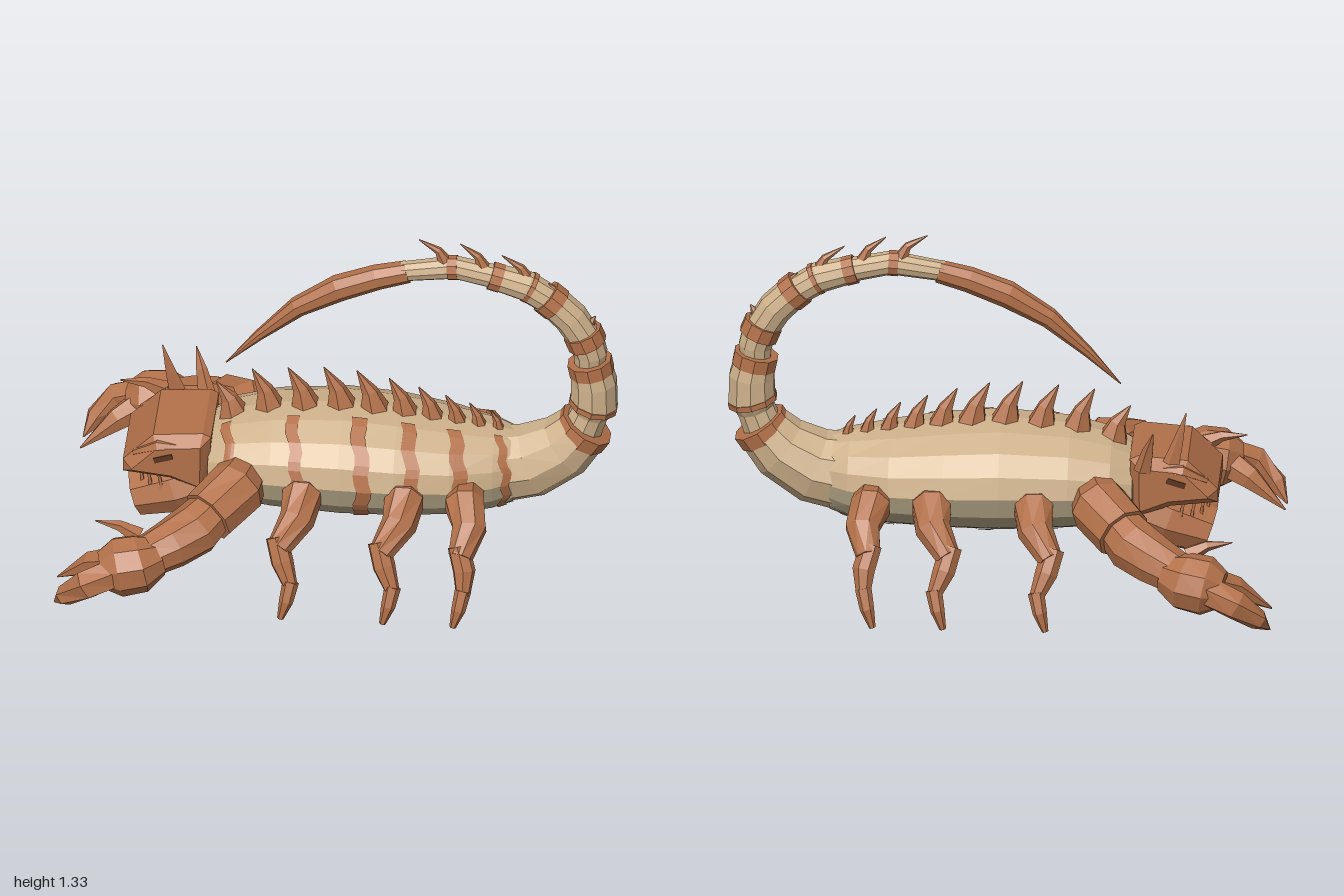
import * as THREE from 'three';

const paint = (name, color) => Object.assign(new THREE.MeshStandardMaterial({ color }), { name });

export function createModel() {
  const model = new THREE.Group();
  const tan = paint('sand shell', 0xcdb08a);
  const belly = paint('grey sand underside', 0xb0a283);
  const rust = paint('rust brown', 0xb3714a);
  const dark = paint('dark brown', 0x5a3520);

  const add = (geo, mat, name, parent = model) => {
    const mesh = new THREE.Mesh(geo, mat);
    mesh.name = name;
    parent.add(mesh);
    return mesh;
  };
  const group = (name) => {
    const g = new THREE.Group();
    g.name = name;
    model.add(g);
    return g;
  };

  // Faceted skin over a grid of points
  const skin = (rows, extra = []) => {
    const tris = [...extra];
    for (let i = 0; i < rows.length - 1; i++)
      for (let j = 0; j < rows[i].length - 1; j++) {
        const a = rows[i][j], b = rows[i][j + 1], c = rows[i + 1][j + 1], d = rows[i + 1][j];
        tris.push(a, b, c, a, c, d);
      }
    const geo = new THREE.BufferGeometry().setFromPoints(tris);
    geo.computeVertexNormals();
    return geo;
  };

  // Capped limb through [x, y, z, radius] stations
  const limb = (path, sides = 8, ref = [0, 0, 1], squash = 1) => {
    const pts = path.map((p) => new THREE.Vector3(p[0], p[1], p[2]));
    const r = new THREE.Vector3(...ref);
    const rows = pts.map((p, i) => {
      const t = pts[Math.min(i + 1, pts.length - 1)].clone().sub(pts[Math.max(i - 1, 0)]).normalize();
      const u = r.clone().cross(t).normalize();
      const v = t.clone().cross(u);
      return Array.from({ length: sides + 1 }, (_, j) => {
        const a = ((j + 0.5) / sides) * Math.PI * 2;
        return p.clone().addScaledVector(u, Math.cos(a) * path[i][3])
          .addScaledVector(v, Math.sin(a) * path[i][3] * squash);
      });
    });
    const caps = [], n = pts.length - 1;
    for (let j = 0; j < sides; j++)
      caps.push(pts[0], rows[0][j + 1], rows[0][j], pts[n], rows[n][j], rows[n][j + 1]);
    return skin(rows, caps);
  };

  // Body stations: x, centre y, half height, half width
  const body = [
    [-0.5, 0.4, 0, 0], [-0.48, 0.39, 0.13, 0.19], [-0.4, 0.4, 0.165, 0.235], [-0.25, 0.41, 0.192, 0.262],
    [0, 0.413, 0.208, 0.28], [0.2, 0.407, 0.198, 0.275], [0.4, 0.395, 0.18, 0.24],
    [0.55, 0.39, 0.16, 0.18], [0.62, 0.39, 0.14, 0.135],
  ];
  const SIDES = 16;
  const station = (x) => {
    let i = 0;
    while (i < body.length - 2 && x > body[i + 1][0]) i++;
    const k = (x - body[i][0]) / (body[i + 1][0] - body[i][0]);
    return body[i].map((v, n) => v + (body[i + 1][n] - v) * k);
  };
  const onBody = (x, t, off) => {
    const [, cy, hy, hz] = station(x);
    const corner = (n) => {
      const a = (n / SIDES) * Math.PI * 2;
      return new THREE.Vector3(x, cy + Math.sin(a) * (hy + off), Math.cos(a) * (hz + off));
    };
    return corner(Math.floor(t)).lerp(corner(Math.floor(t) + 1), t - Math.floor(t));
  };
  // Patch of body surface: t runs around, xAt gives the x of each column
  const patch = (ts, cols, xAt, off) => skin(ts.map((t) =>
    Array.from({ length: cols }, (_, i) => onBody(xAt(i, t), t, off))));
  const around = (from, to, step) =>
    Array.from({ length: Math.round((to - from) / step) + 1 }, (_, i) => from + i * step).reverse();
  const shell = (from, to) => skin(around(from, to, 1).reverse().map((t) =>
    body.map((b) => onBody(b[0], t, b[2] ? 0 : -b[2]))).map((row) => row.reverse()).reverse());
  // Both shell halves share the patch winding
  add(shell(0, 8), tan, 'upperBody');
  add(shell(8, 16), belly, 'lowerBody');
  for (const mesh of model.children) mesh.geometry = faceOut(mesh.geometry, 0.4);

  const stripes = group('bodyStripes');
  [[-0.41, 0.035], [-0.17, 0.045], [0.07, 0.055], [0.25, 0.05], [0.42, 0.05], [0.58, 0.03]].forEach(([x, w], n) => {
    const geo = patch(around(-6, 3.2, 0.4), 4,
      (i, t) => x + 0.02 * Math.cos(t * 0.7) + 0.007 * Math.sin(t * 4 + n) + (i / 3 - 0.5) * w, 0.005);
    add(faceOut(geo, 0.4), rust, 'stripe', stripes);
  });

  // Spines leaning toward the head
  const spine = (x, y, dx, h, r, parent) => add(limb([
    [x, y - 0.03, 0, r], [x + dx * 0.3, y + h * 0.4, 0, r * 0.5], [x + dx, y + h, 0, 0.002],
  ], 6), rust, 'spine', parent);
  const back = group('backSpines');
  [-0.4, -0.27, -0.14, -0.01, 0.11, 0.22, 0.32, 0.41, 0.49, 0.56].forEach((x, i) => {
    const [, cy, hy] = station(x);
    const k = i < 5 ? 1 : 1 - (i - 4) * 0.11;
    spine(x, cy + hy, -0.065 * k, (i ? 0.14 : 0.11) * k, 0.062 * k, back);
  });

  // Tail segments, brown bands and stinger
  const tail = group('tail');
  const segments = [
    [[0.57, 0.39, 0, 0.145], [0.68, 0.41, 0, 0.138], [0.8, 0.48, 0, 0.12], [0.87, 0.56, 0, 0.1]],
    [[0.86, 0.55, 0, 0.075], [0.89, 0.63, 0, 0.07], [0.905, 0.67, 0, 0.088], [0.905, 0.76, 0, 0.085], [0.89, 0.84, 0, 0.075]],
    [[0.89, 0.82, 0, 0.055], [0.893, 0.88, 0, 0.062], [0.87, 0.96, 0, 0.066]],
    [[0.875, 0.94, 0, 0.062], [0.82, 1.03, 0, 0.064], [0.74, 1.11, 0, 0.062]],
    [[0.76, 1.09, 0, 0.055], [0.66, 1.155, 0, 0.057], [0.54, 1.19, 0, 0.05]],
    [[0.56, 1.185, 0, 0.045], [0.4, 1.22, 0, 0.044], [0.21, 1.19, 0, 0.037]],
  ];
  segments.forEach((s) => add(limb(s, 10), tan, 'tailSegment', tail));
  [
    [0.85, 0.53, 0.88, 0.575, 0.106], [0.9, 0.655, 0.905, 0.675, 0.092], [0.898, 0.8, 0.888, 0.85, 0.083],
    [0.882, 0.92, 0.862, 0.97, 0.073], [0.77, 1.08, 0.73, 1.115, 0.067], [0.57, 1.18, 0.53, 1.192, 0.054],
    [0.41, 1.219, 0.375, 1.217, 0.047], [0.68, 1.145, 0.665, 1.153, 0.06],
  ].forEach(([x, y, x2, y2, r]) => add(limb([[x, y, 0, r], [x2, y2, 0, r]], 10), rust, 'tailBand', tail));
  add(limb([
    [0.23, 1.19, 0, 0.042], [0.12, 1.16, 0, 0.047], [-0.02, 1.105, 0, 0.05],
    [-0.17, 1.015, 0, 0.038], [-0.31, 0.885, 0, 0.02], [-0.43, 0.76, 0, 0.002],
  ], 8), rust, 'stinger', tail);
  [[0.37, 1.26, -0.1, 0.07], [0.51, 1.24, -0.09, 0.08], [0.67, 1.2, -0.1, 0.08], [0.8, 1.11, -0.06, 0.06]]
    .forEach(([x, y, dx, h]) => spine(x, y, dx, h, 0.03, tail));
  add(limb([[0.88, 0.99, 0, 0.03], [0.91, 1.04, 0, 0.002]], 5), rust, 'spine', tail);

  // Head: bevelled wedge above an open lower jaw
  const head = group('head');
  const profile = new THREE.Shape([
    [-0.79, 0.37], [-0.62, 0.35], [-0.48, 0.3], [-0.47, 0.53], [-0.5, 0.545], [-0.68, 0.53], [-0.79, 0.42],
  ].map((p) => new THREE.Vector2(...p)));
  add(new THREE.ExtrudeGeometry(profile, {
    depth: 0.3, bevelThickness: 0.045, bevelSize: 0.035, bevelOffset: -0.035, bevelSegments: 1,
  }).translate(0, 0, -0.15), rust, 'skull', head);
  add(limb([[-0.46, 0.32, 0, 0.12], [-0.6, 0.26, 0, 0.12], [-0.75, 0.205, 0, 0.095]], 10, [0, 0, 1], 1.35), rust, 'lowerJaw', head);
  for (let i = 0; i < 9; i++) {
    const a = ((i - 4) / 4) * 1.35;
    const x = -0.62 - 0.13 * Math.cos(a), z = 0.13 * Math.sin(a);
    add(limb([[x, 0.25, z, 0.014], [x - 0.01, 0.35, z, 0.002]], 4), rust, 'lowerTooth', head);
    add(limb([[x - 0.02, 0.39, z, 0.012], [x - 0.01, 0.31, z, 0.002]], 4), rust, 'upperTooth', head);
  }
  for (const s of [1, -1]) {
    add(limb([[-0.75, 0.45, s * 0.15, 0.012], [-0.66, 0.495, s * 0.17, 0.028], [-0.53, 0.5, s * 0.18, 0.008]], 6), rust, 'brow', head);
    const eye = add(new THREE.BoxGeometry(0.07, 0.022, 0.008), dark, 'eye', head);
    eye.position.set(-0.64, 0.458, s * 0.194);
    eye.rotation.z = 0.3;
  }
  // Crest horns on one side
  add(limb([[-0.62, 0.51, -0.16, 0.035], [-0.645, 0.6, -0.157, 0.022], [-0.675, 0.72, -0.155, 0.002]], 5, [0, 0, 1], 0.3), rust, 'horn', head);
  add(limb([[-0.52, 0.5, -0.19, 0.035], [-0.54, 0.59, -0.21, 0.022], [-0.56, 0.67, -0.235, 0.002]], 5, [0, 0, 1], 0.4), rust, 'horn', head);

  // Pincers and walking legs, mirrored across z
  for (const s of [1, -1]) {
    const side = s > 0 ? 'front' : 'back';
    const arm = group(side + 'Pincer');
    const part = (name, pts, sides, ref, parent) =>
      add(limb(pts.map(([x, y, z, r]) => [x, y, z * s, r]), sides, ref), rust, name, parent);
    const up = [0, 1, 0], fwd = [1, 0, 0];
    part('upperArm', [[-0.35, 0.39, 0.16, 0.09], [-0.37, 0.39, 0.27, 0.11], [-0.46, 0.34, 0.38, 0.105]], 9, up, arm);
    part('forearm', [[-0.43, 0.36, 0.34, 0.085], [-0.5, 0.31, 0.42, 0.1], [-0.58, 0.28, 0.48, 0.092], [-0.66, 0.25, 0.52, 0.08]], 9, up, arm);
    part('hand', [[-0.63, 0.25, 0.52, 0.075], [-0.69, 0.235, 0.55, 0.108], [-0.77, 0.22, 0.56, 0.11], [-0.83, 0.21, 0.57, 0.07]], 9, up, arm);
    part('outerFinger', [[-0.78, 0.22, 0.6, 0.06], [-0.88, 0.18, 0.63, 0.057], [-0.96, 0.11, 0.6, 0.038], [-1, 0.05, 0.55, 0.003]], 6, up, arm);
    part('innerFinger', [[-0.78, 0.22, 0.53, 0.06], [-0.87, 0.18, 0.48, 0.045], [-1, 0.08, 0.43, 0.003]], 6, up, arm);
    part('handSpike', [[-0.7, 0.31, 0.49, 0.035], [-0.77, 0.345, 0.48, 0.02], [-0.86, 0.355, 0.47, 0.002]], 5, up, arm);

    [[-0.12, 0], [0.25, 0], [0.47, 0.07]].forEach(([x, bend]) => {
      const leg = group(side + 'Leg');
      part('thigh', [[x - 0.01, 0.36, 0.16, 0.065], [x - 0.01, 0.37, 0.26, 0.075], [x - 0.02 + bend / 2, 0.32, 0.34, 0.065], [x - 0.08 + bend, 0.245, 0.42, 0.045]], 8, fwd.map((v, i) => (i === 1 ? 1 : 0)), leg);
      part('shin', [[x - 0.09 + bend, 0.28, 0.4, 0.04], [x - 0.065 + bend, 0.2, 0.44, 0.042], [x - 0.03 + bend / 2, 0.12, 0.48, 0.026]], 7, fwd, leg);
      part('foot', [[x - 0.03 + bend / 2, 0.14, 0.475, 0.03], [x - 0.045 + bend / 2, 0.07, 0.5, 0.026], [x - 0.065 + bend / 2, 0.002, 0.51, 0.012]], 6, fwd, leg);
    });
  }
  return model;
}

// Turn triangles so they face away from the body's long axis at height cy
function faceOut(geo, cy) {
  const p = geo.attributes.position, v = [0, 1, 2].map(() => new THREE.Vector3());
  for (let i = 0; i < p.count; i += 3) {
    v.forEach((q, k) => q.fromBufferAttribute(p, i + k));
    const n = v[1].clone().sub(v[0]).cross(v[2].clone().sub(v[0]));
    const c = v[0].clone().add(v[1]).add(v[2]).divideScalar(3);
    if (n.y * (c.y - cy) + n.z * c.z < 0) {
      p.setXYZ(i + 1, v[2].x, v[2].y, v[2].z);
      p.setXYZ(i + 2, v[1].x, v[1].y, v[1].z);
    }
  }
  geo.computeVertexNormals();
  return geo;
}
